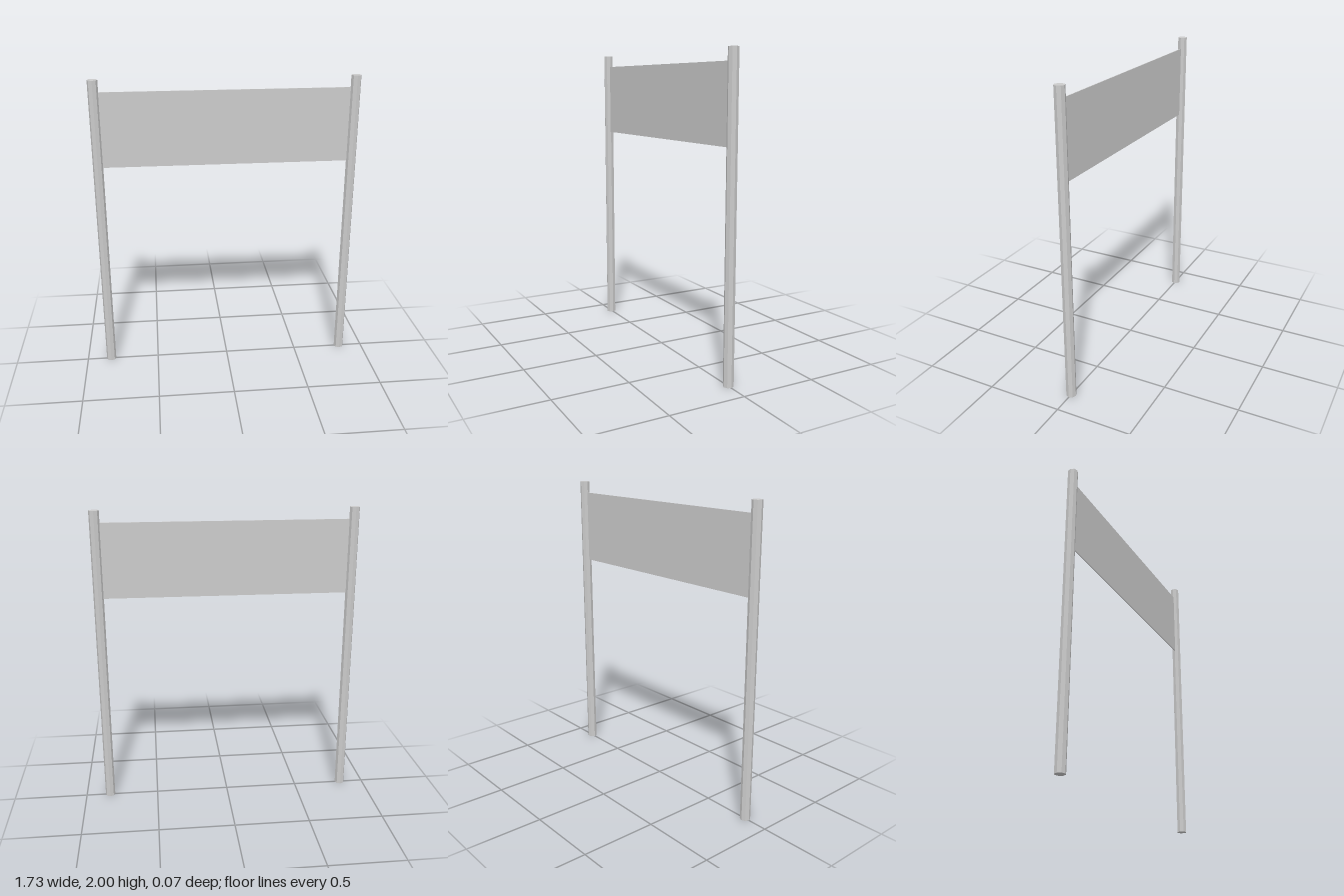
import * as THREE from 'three';

export function createModel() {
  const group = new THREE.Group();
  const material = new THREE.MeshStandardMaterial({ color: 0xcccccc, flatShading: true });
  const postX = 0.834, postRadius = 0.033;

  // Two eight-sided posts
  const postGeometry = new THREE.CylinderGeometry(postRadius, postRadius, 2, 8);
  for (const side of [1, -1]) {
    const post = new THREE.Mesh(postGeometry, material);
    post.name = side > 0 ? 'leftPost' : 'rightPost';
    post.position.set(side * postX, 1, 0);
    group.add(post);
  }

  // Thin banner panel, its ends sunk into the posts
  const bottom = 1.433, top = 1.922;
  const banner = new THREE.Mesh(new THREE.BoxGeometry(2 * (postX - 0.02), top - bottom, 0.006), material);
  banner.name = 'banner';
  banner.position.y = (bottom + top) / 2;
  group.add(banner);

  return group;
}
